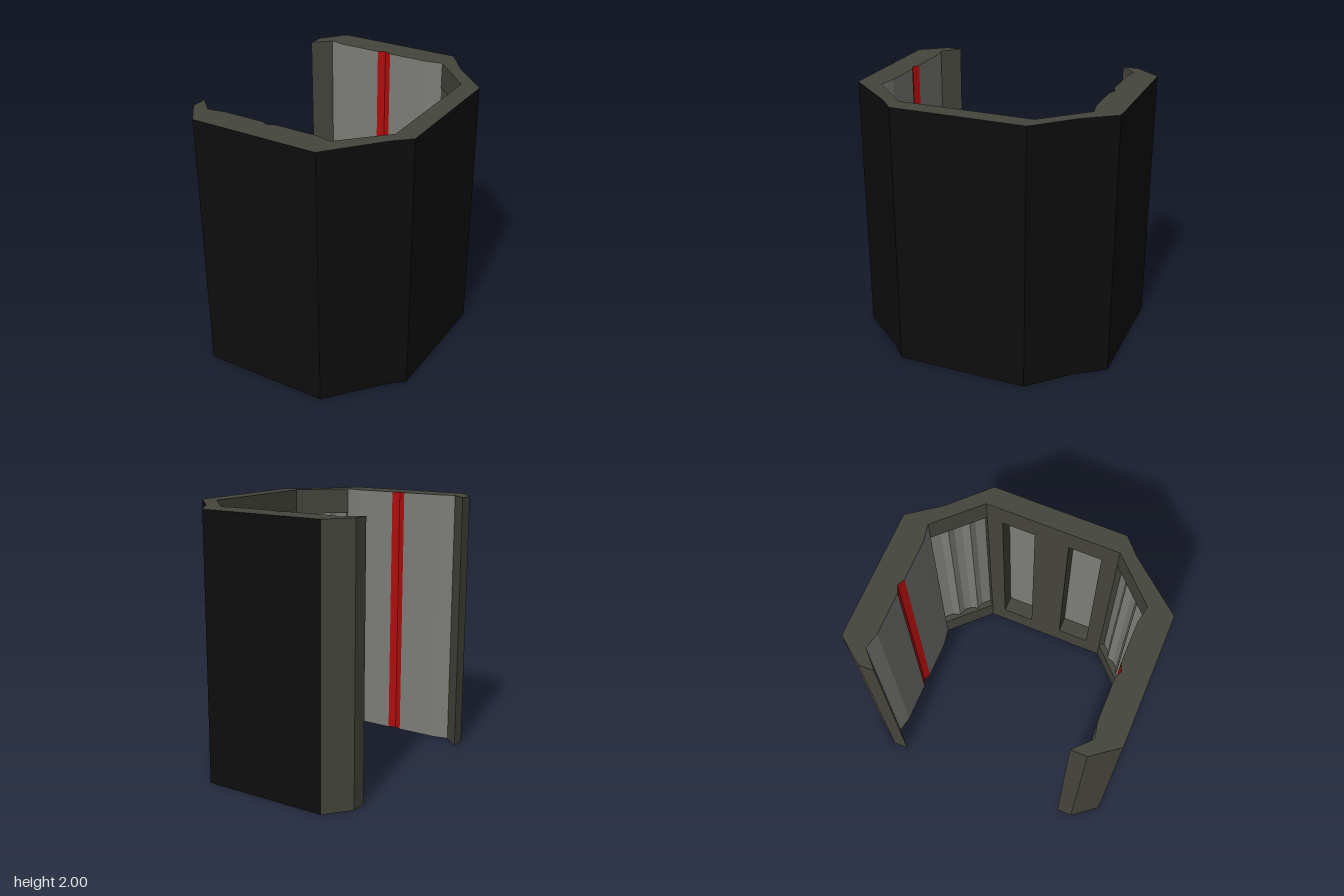
import * as THREE from 'three';

const mat = (name, color, twoSided) => {
  const m = new THREE.MeshStandardMaterial({ color });
  m.name = name;
  return m;
};

export function createModel() {
  const black = mat('black shell', 0x0d0d0d);
  const dark = mat('dark olive frame', 0x44453c);
  const grey = mat('grey panel', 0x7c7c78);
  const red = mat('red stripe', 0xb00d0d);
  const model = new THREE.Group();
  model.name = 'wallSection';

  const add = (name, geo, material) => {
    const mesh = new THREE.Mesh(geo, material);
    mesh.name = name;
    model.add(mesh);
  };

  // Upright faceted wall along a plan path of [x, z] points
  const wall = (name, pts, material, y0 = 0, y1 = 2) => {
    const pos = [];
    for (let i = 0; i < pts.length - 1; i++) {
      const [ax, az] = pts[i], [bx, bz] = pts[i + 1];
      pos.push(ax, y0, az, bx, y0, bz, bx, y1, bz, ax, y0, az, bx, y1, bz, ax, y1, az);
    }
    const g = new THREE.BufferGeometry();
    g.setAttribute('position', new THREE.Float32BufferAttribute(pos, 3));
    g.computeVertexNormals();
    add(name, g, material);
  };

  // Flat horizontal face over a plan outline
  const slab = (name, pts, y, up) => {
    const s = up ? -1 : 1;
    const g = new THREE.ShapeGeometry(new THREE.Shape(pts.map(([x, z]) => new THREE.Vector2(x, s * z))));
    g.rotateX(s * Math.PI / 2).translate(0, y, 0);
    add(name, g, dark);
  };

  const flip = pts => pts.map(([x, z]) => [x, -z]).reverse();

  // Plan outlines, running round the section
  const outer = [[-0.64, 1], [0.34, 1], [0.66, 0.615], [0.785, 0.5], [0.785, -0.5],
    [0.51, -0.77], [0.34, -1], [-0.64, -1]];
  const backHook = [[-0.64, -1], [-0.785, -0.81], [-0.785, -0.69], [-0.66, -0.81]];
  const backSide = [[-0.66, -0.81], [-0.54, -0.785], [-0.22, -0.785], [-0.165, -0.81],
    [-0.11, -0.785], [0.2, -0.785], [0.335, -0.81]];
  const inner = [[0.335, -0.81], [0.64, -0.5], [0.64, 0.5], [0.335, 0.81]];
  const outline = [...outer, ...backHook.slice(1), ...backSide.slice(1), ...inner.slice(1),
    ...flip(backSide).slice(1), ...flip(backHook).slice(1, -1)];

  slab('topEdge', outline, 2, true);
  slab('bottomEdge', outline, 0, false);
  wall('outerShell', outer, black);

  // Mirrored side walls: end hooks, grey panels, red groove
  for (const [side, f] of [['back', p => p], ['front', flip]]) {
    wall(side + 'EndHook', f(backHook), dark);
    wall(side + 'OuterPanel', f(backSide.slice(0, 3)), grey);
    wall(side + 'RedGroove', f(backSide.slice(2, 5)), red);
    wall(side + 'InnerPanel', f(backSide.slice(4)), grey);
  }

  // Frame bands above and below the recesses
  const lo = 0.2, hi = 1.8;
  wall('lowerBand', inner, dark, 0, lo);
  wall('upperBand', inner, dark, hi, 2);

  const recess = (name, opening, back) => {
    const [a, b] = opening, last = back[back.length - 1];
    wall(name + 'Panel', back, grey, lo, hi);
    wall(name + 'RevealA', [a, back[0]], dark, lo, hi);
    wall(name + 'RevealB', [last, b], dark, lo, hi);
    const area = [a, ...back, b];
    slab(name + 'Sill', area, lo, true);
    slab(name + 'Head', area, hi, false);
  };

  // Ribbed panels in the two diagonal walls: [position along, depth]
  const ribs = [[0, 0.05], [0.2, 0.05], [0.32, 0.02], [0.44, 0.05], [0.58, 0.05],
    [0.7, 0.02], [0.82, 0.05], [1, 0.05]];
  const [p, q] = inner;
  const ribbed = ribs.map(([t, d]) => [
    p[0] + (q[0] - p[0]) * t + d * 0.7,
    p[1] + (q[1] - p[1]) * t - d * 0.7]);
  recess('backDiagonal', [p, q], ribbed);
  recess('frontDiagonal', flip([p, q]), flip(ribbed));

  // End wall posts and deep windows
  const x = 0.64, deep = 0.765;
  for (const [z0, z1] of [[-0.5, -0.38], [-0.13, 0.13], [0.38, 0.5]])
    wall('windowPost', [[x, z0], [x, z1]], dark, lo, hi);
  for (const [z0, z1] of [[-0.38, -0.13], [0.13, 0.38]])
    recess('window', [[x, z0], [x, z1]], [[deep, z0], [deep, z1]]);

  return model;
}
